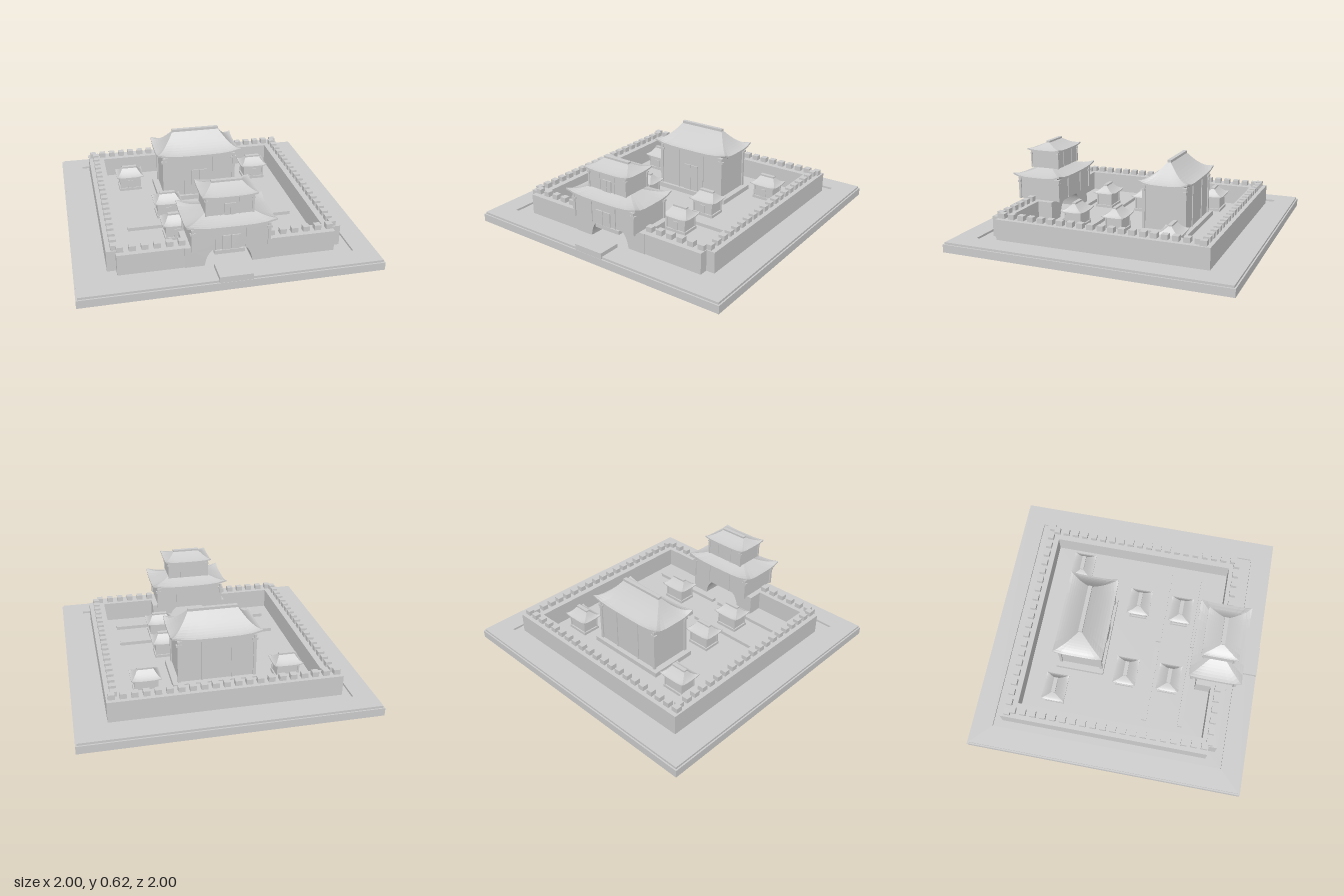
import * as THREE from 'three';

const stone = new THREE.MeshStandardMaterial({ color: 0xcccccc });
stone.name = 'paleStone';
stone.flatShading = true;

function add(parent, name, geometry) {
  const mesh = new THREE.Mesh(geometry, stone);
  mesh.name = name;
  parent.add(mesh);
  return mesh;
}

// Box given by its limits on each axis
function box(parent, name, x0, x1, y0, y1, z0, z1) {
  const mesh = add(parent, name, new THREE.BoxGeometry(x1 - x0, y1 - y0, z1 - z0));
  mesh.position.set((x0 + x1) / 2, (y0 + y1) / 2, (z0 + z1) / 2);
  return mesh;
}

// Concave hipped roof lofted from rectangular rings, corners turned up at the eaves
function roofGeometry(hx, hz, ridge, height, lift, thick) {
  const n = 8, steps = 9, ridgeZ = 0.012;
  const rings = [
    { x: 0, z: 0, y: 0, l: 0 },
    { x: hx * 0.8, z: hz * 0.8, y: 0, l: 0 },
    { x: hx, z: hz, y: 0, l: lift },
  ];
  for (let i = 0; i <= steps; i++) {
    const t = i / steps;
    rings.push({
      x: hx + (ridge - hx) * t, z: hz + (ridgeZ - hz) * t,
      y: thick + (height - thick) * Math.pow(t, 1.5), l: lift * Math.pow(1 - t, 3),
    });
  }
  rings.push({ x: 0, z: 0, y: height, l: 0 });
  const pos = [], index = [], count = n * 4;
  const sides = [[1, 1, 0], [1, -1, 1], [-1, -1, 0], [-1, 1, 1]];
  for (const r of rings) {
    for (let side = 0; side < 4; side++) {
      for (let k = 0; k < n; k++) {
        const s = (k / n) * 2 - 1;
        // walk front, right, back, left around the ring
        const [x, z] = [[s, 1], [1, -s], [-s, -1], [-1, s]][side];
        pos.push(x * r.x, r.y + r.l * Math.pow(Math.abs(s), 4), z * r.z);
      }
    }
  }
  for (let i = 0; i < rings.length - 1; i++) {
    for (let k = 0; k < count; k++) {
      const a = i * count + k, b = i * count + ((k + 1) % count);
      index.push(a, b, b + count, a, b + count, a + count);
    }
  }
  const g = new THREE.BufferGeometry();
  g.setAttribute('position', new THREE.Float32BufferAttribute(pos, 3));
  g.setIndex(index);
  const flat = g.toNonIndexed();
  flat.computeVertexNormals();
  return flat;
}

function roof(parent, y, hx, hz, ridge, height, lift, thick, cap) {
  add(parent, 'hippedRoof', roofGeometry(hx, hz, ridge, height, lift, thick)).position.y = y;
  if (cap) box(parent, 'ridgeCap', -ridge, ridge, y + height - 0.008, y + height + cap, -0.014, 0.014);
}

// Timber storey: body, corner posts, brackets, top beam, bays and double door
function storey(parent, hx, hz, y0, y1, post, doorW, doorH) {
  box(parent, 'walls', -hx, hx, y0, y1, -hz, hz);
  const beam = post * 0.8;
  for (const s of [-1, 1]) {
    box(parent, 'topBeam', -hx, hx, y1 - beam, y1, s * hz - 0.005, s * hz + 0.005);
    for (const t of [-1, 1]) {
      const px = s * hx, pz = t * hz, h = post / 2;
      box(parent, 'cornerPost', px - h, px + h, y0, y1, pz - h, pz + h);
      box(parent, 'bracket', px - post, px + post, y1 - post * 2, y1 - post * 1.2, pz - h * 1.2, pz + h * 1.2);
      const mx = s * hx * 0.4;
      box(parent, 'bayPost', mx - h / 2, mx + h / 2, y0, y1, pz - h * 0.7, pz + h * 0.7);
    }
    box(parent, 'doorLeaf', s > 0 ? 0.002 : -doorW, s > 0 ? doorW : -0.002, y0, y0 + doorH, hz, hz + 0.008);
  }
}

function smallHouse(parent, x, z) {
  const house = new THREE.Group();
  house.name = 'smallHouse';
  house.position.set(x, 0, z);
  parent.add(house);
  box(house, 'footing', -0.085, 0.085, 0.055, 0.075, -0.068, 0.068);
  box(house, 'walls', -0.075, 0.075, 0.075, 0.165, -0.058, 0.058);
  box(house, 'door', -0.02, 0.02, 0.075, 0.135, 0.058, 0.064);
  for (const s of [-1, 1]) {
    for (const t of [-1, 1]) {
      box(house, 'cornerPost', s * 0.075 - 0.005, s * 0.075 + 0.005, 0.075, 0.165, t * 0.058 - 0.005, t * 0.058 + 0.005);
    }
  }
  roof(house, 0.162, 0.102, 0.083, 0.055, 0.06, 0.01, 0.007, 0.01);
}

export function createModel() {
  const model = new THREE.Group();
  model.name = 'walledPalace';

  // Ground slab with a raised border around the lower court
  box(model, 'groundSlab', -1, 1, 0, 0.055, -1, 1);
  const border = new THREE.Shape([[-0.99, -0.99], [0.99, -0.99], [0.99, 0.99], [-0.99, 0.99]].map(p => new THREE.Vector2(...p)));
  border.holes.push(new THREE.Path([[-0.84, -0.84], [-0.84, 0.845], [0.84, 0.845], [0.84, -0.84]].map(p => new THREE.Vector2(...p))));
  const rim = add(model, 'groundBorder', new THREE.ExtrudeGeometry(border, { depth: 0.015, bevelEnabled: false }));
  rim.rotation.x = -Math.PI / 2;
  rim.position.y = 0.055;
  box(model, 'bridge', -0.11, 0.11, 0.055, 0.097, 0.835, 0.998);

  // Fortress walls
  const walls = new THREE.Group();
  walls.name = 'fortressWalls';
  model.add(walls);
  box(walls, 'backWall', -0.785, 0.785, 0.055, 0.2, -0.785, -0.675);
  for (const s of [-1, 1]) {
    box(walls, 'sideWall', s > 0 ? 0.67 : -0.785, s > 0 ? 0.785 : -0.67, 0.055, 0.2, -0.675, 0.72);
    box(walls, 'frontWall', s > 0 ? 0.29 : -0.725, s > 0 ? 0.725 : -0.29, 0.055, 0.2, 0.67, 0.78);
  }

  // Battlements
  const merlon = (x, z) => box(walls, 'merlon', x - 0.022, x + 0.022, 0.2, 0.235, z - 0.022, z + 0.022);
  for (let i = 0; i < 21; i++) merlon(-0.75 + i * 0.075, -0.735);
  for (let i = 0; i < 20; i++) for (const s of [-1, 1]) merlon(s * 0.732, -0.697 + i * 0.073);
  for (let i = 0; i < 6; i++) for (const s of [-1, 1]) merlon(s * (0.698 - i * 0.08), 0.722);

  // Gate block with a flared passage
  const gate = new THREE.Group();
  gate.name = 'gateTower';
  gate.position.z = 0.68;
  model.add(gate);
  const face = new THREE.Shape();
  face.moveTo(-0.29, 0.055);
  face.lineTo(-0.16, 0.055);
  face.quadraticCurveTo(-0.145, 0.15, -0.1, 0.17);
  face.lineTo(0.1, 0.17);
  face.quadraticCurveTo(0.145, 0.15, 0.16, 0.055);
  face.lineTo(0.29, 0.055);
  face.lineTo(0.29, 0.2);
  face.lineTo(-0.29, 0.2);
  const block = add(gate, 'gateBlock', new THREE.ExtrudeGeometry(face, { depth: 0.225, bevelEnabled: false }));
  block.position.z = -0.12;
  box(gate, 'gateLintel', -0.1, 0.1, 0.145, 0.172, 0.09, 0.128);

  // Two-storey gatehouse
  storey(gate, 0.25, 0.158, 0.2, 0.36, 0.018, 0.06, 0.1);
  roof(gate, 0.362, 0.293, 0.187, 0.1, 0.084, 0.026, 0.012, 0);
  storey(gate, 0.153, 0.108, 0.42, 0.545, 0.012, 0.035, 0.08);
  roof(gate, 0.545, 0.18, 0.13, 0.1, 0.058, 0.012, 0.01, 0.012);

  // Main hall on a low platform
  const hall = new THREE.Group();
  hall.name = 'mainHall';
  hall.position.z = -0.302;
  model.add(hall);
  box(hall, 'platform', -0.31, 0.31, 0.055, 0.09, -0.183, 0.172);
  storey(hall, 0.265, 0.15, 0.09, 0.402, 0.02, 0.06, 0.2);
  roof(hall, 0.404, 0.314, 0.178, 0.175, 0.148, 0.028, 0.013, 0.016);

  // Courtyard houses and low dividing walls
  for (const s of [-1, 1]) {
    smallHouse(model, s * 0.495, -0.443);
    smallHouse(model, s * 0.278, 0.042);
    smallHouse(model, s * 0.272, 0.361);
    for (const z of [0.232, 0.498]) {
      box(model, 'courtyardKerb', s > 0 ? 0.025 : -0.593, s > 0 ? 0.593 : -0.025, 0.055, 0.08, z - 0.018, z + 0.018);
    }
  }
  return model;
}
